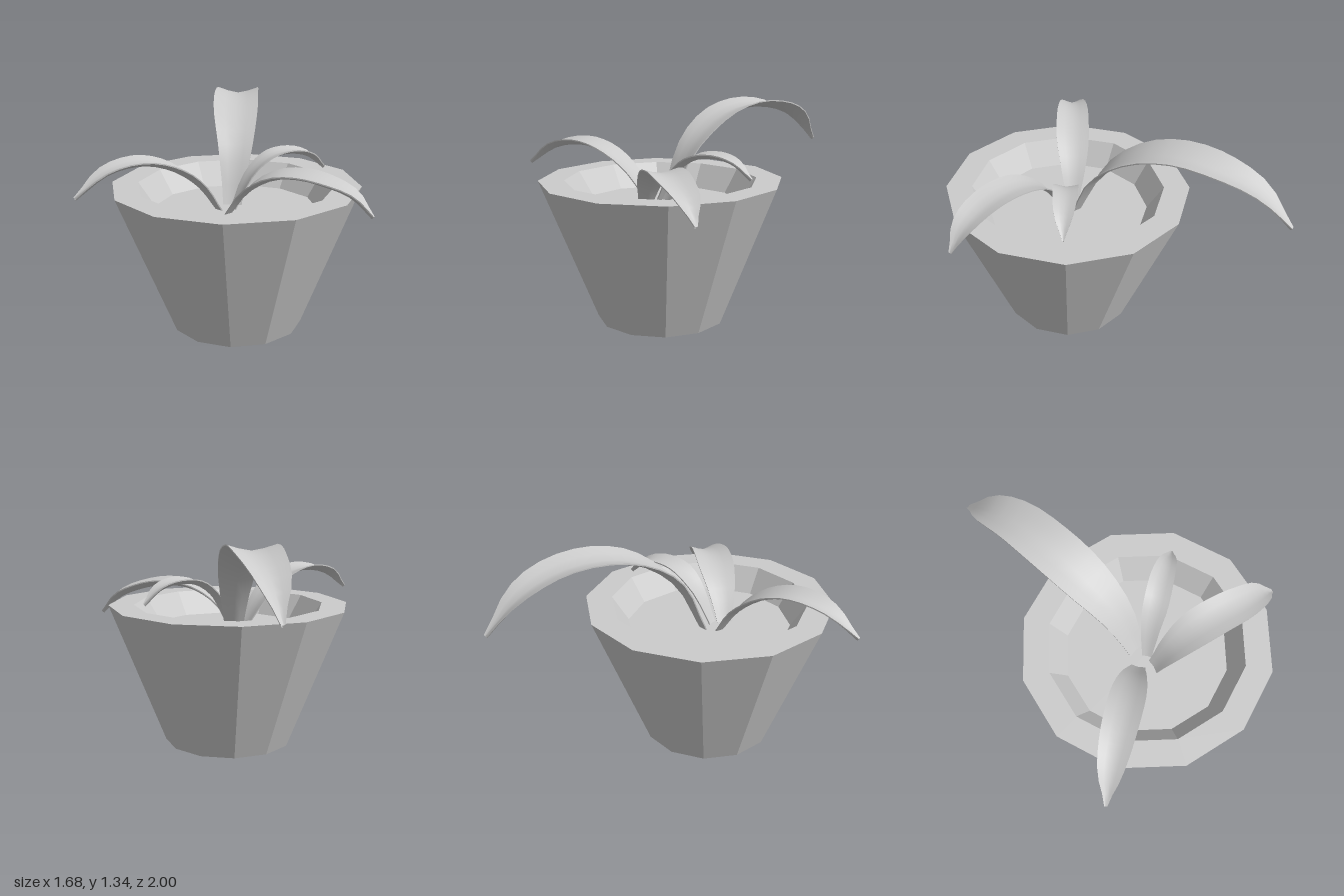
import * as THREE from 'three';
import { toCreasedNormals } from 'three/addons/utils/BufferGeometryUtils.js';

const SIDES = 12;
const V2 = (p) => new THREE.Vector2(...p);

// Leaf blade: a thin V-shaped section swept along an arched midrib.
function leafGeometry(midrib, halfWidth, thickness) {
  const path = new THREE.CatmullRomCurve3(midrib.map((p) => new THREE.Vector3(...p)));
  const widths = new THREE.SplineCurve(
    [[0, 0.38], [0.17, 0.72], [0.35, 0.97], [0.55, 1], [0.72, 0.92], [0.87, 0.66], [1, 0.08]].map(V2));
  const across = [-1, -0.5, 0, 0.5, 1];
  const rows = 16, ring = across.length * 2;
  const up = new THREE.Vector3(0, 1, 0);
  const pos = [], index = [];
  for (let i = 0; i <= rows; i++) {
    const t = i / rows;
    const centre = path.getPoint(t), tangent = path.getTangent(t);
    const side = tangent.clone().cross(up).normalize();
    const normal = side.clone().cross(tangent);
    const w = halfWidth * widths.getPoint(t).y;
    const fold = 0.12 + 0.25 * t; // the blade cups more towards the tip
    const add = (u, drop) => {
      const p = centre.clone().addScaledVector(side, u * w)
        .addScaledVector(normal, Math.abs(u) ** 1.4 * w * fold - drop);
      pos.push(p.x, p.y, p.z);
    };
    across.forEach((u) => add(u, 0));
    [...across].reverse().forEach((u) => add(u, thickness * (1 - 0.6 * Math.abs(u))));
  }
  for (let i = 0; i < rows; i++) {
    for (let j = 0; j < ring; j++) {
      const a = i * ring + j, b = i * ring + (j + 1) % ring;
      index.push(a, b, a + ring, b, b + ring, a + ring);
    }
  }
  const g = new THREE.BufferGeometry();
  g.setAttribute('position', new THREE.Float32BufferAttribute(pos, 3));
  g.setIndex(index);
  return toCreasedNormals(g, 0.8);
}

export function createModel() {
  const group = new THREE.Group();
  const flat = new THREE.MeshStandardMaterial({ color: 0xcccccc, flatShading: true });
  const smooth = new THREE.MeshStandardMaterial({ color: 0xcccccc, side: THREE.DoubleSide });

  // Faceted pot with a wide rim, and the soil inside it
  const lathe = (name, profile) => {
    const mesh = new THREE.Mesh(new THREE.LatheGeometry(profile.map(V2), SIDES), flat);
    mesh.name = name;
    mesh.position.set(-0.03, 0, 0.14);
    group.add(mesh);
  };
  lathe('pot', [[0, 0], [0.407, 0], [0.76, 0.89], [0.6, 0.89], [0.5, 0.74]]);
  lathe('soil', [[0.5, 0.74], [0, 0.74]]);

  // Four arching leaves: midrib points and half width
  const leaves = {
    backRightLeaf: [0.145, [[-0.08, 0.72, 0.11], [-0.16, 1.05, -0.04], [-0.29, 1.23, -0.23],
      [-0.43, 1.3, -0.44], [-0.57, 1.28, -0.66], [-0.71, 1.19, -0.84], [-0.83, 1.02, -1.0]]],
    frontRightLeaf: [0.105, [[-0.1, 0.72, 0.2], [-0.17, 0.91, 0.32], [-0.25, 1.03, 0.47],
      [-0.34, 1.08, 0.63], [-0.44, 1.05, 0.81], [-0.53, 0.93, 0.99]]],
    backLeftLeaf: [0.075, [[-0.04, 0.72, 0.17], [0.02, 0.94, 0.06], [0.09, 1.04, -0.05],
      [0.16, 1.06, -0.17], [0.23, 1.03, -0.28], [0.29, 0.94, -0.38]]],
    frontLeftLeaf: [0.115, [[-0.03, 0.72, 0.24], [0.1, 0.89, 0.21], [0.25, 0.98, 0.17],
      [0.42, 1.0, 0.13], [0.58, 0.97, 0.09], [0.72, 0.91, 0.04], [0.83, 0.8, 0]]],
  };
  for (const [name, [halfWidth, midrib]] of Object.entries(leaves)) {
    const mesh = new THREE.Mesh(leafGeometry(midrib, halfWidth, 0.018), smooth);
    mesh.name = name;
    group.add(mesh);
  }
  return group;
}
